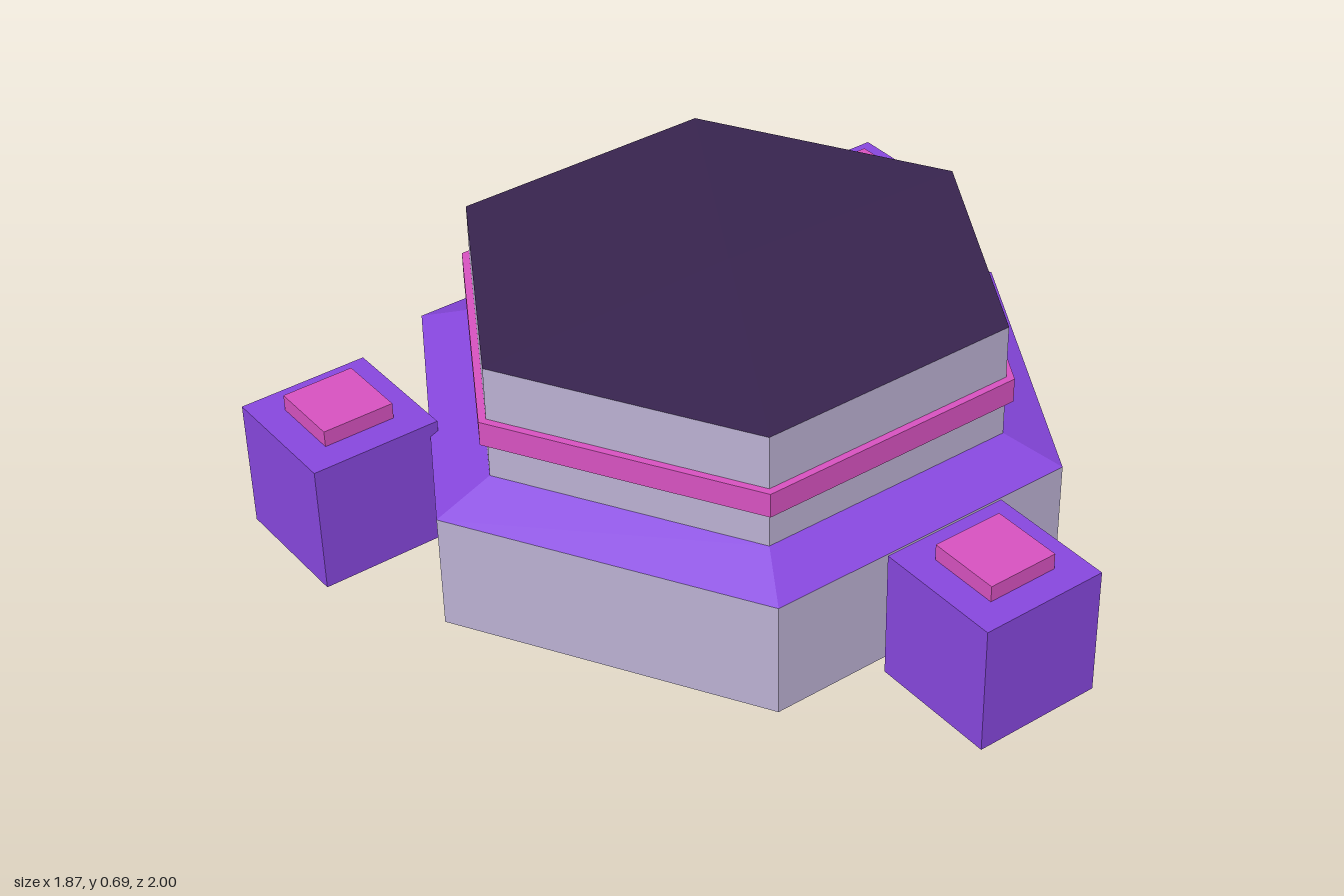
import * as THREE from 'three';

function flat(name, color) {
  const m = new THREE.MeshStandardMaterial({ color, flatShading: true });
  m.name = name;
  return m;
}

export function createModel() {
  const wall = flat('pale lilac grey', 0xbab0d2);
  const purple = flat('purple', 0x8747de);
  const pink = flat('pink', 0xd752c0);
  const dark = flat('dark violet', 0x38244f);

  const model = new THREE.Group();
  model.name = 'hexagonalBuilding';

  // Main hexagonal body, stacked from prisms
  const body = new THREE.Group();
  body.name = 'body';
  body.position.set(-0.194, 0, -0.013);
  model.add(body);

  function hex(name, rTop, rBottom, y0, y1, material, open = false) {
    const geometry = new THREE.CylinderGeometry(rTop, rBottom, y1 - y0, 6, 1, open);
    const mesh = new THREE.Mesh(geometry, material);
    mesh.name = name;
    mesh.position.y = (y0 + y1) / 2;
    body.add(mesh);
  }
  hex('base', 0.858, 0.858, 0, 0.308, wall);
  hex('slopedLedge', 0.706, 0.858, 0.308, 0.367, purple, true);
  hex('upperWall', 0.706, 0.706, 0.367, 0.672, wall, true);
  hex('glowBand', 0.727, 0.727, 0.465, 0.53, pink);
  hex('roof', 0, 0.706, 0.672, 0.69, dark, true);

  // Three free-standing pylons, each with a small light on top
  function box(name, size, y0, y1, material, parent) {
    const mesh = new THREE.Mesh(new THREE.BoxGeometry(size, y1 - y0, size), material);
    mesh.name = name;
    mesh.position.y = (y0 + y1) / 2;
    parent.add(mesh);
  }
  const spots = [[0.76, -0.038], [-0.65, 0.829], [-0.69, -0.829]];
  for (const [x, z] of spots) {
    const pylon = new THREE.Group();
    pylon.name = 'pylon';
    pylon.position.set(x, 0, z);
    box('pylonBlock', 0.342, 0, 0.345, purple, pylon);
    box('pylonLight', 0.19, 0.345, 0.388, pink, pylon);
    model.add(pylon);
  }
  return model;
}
